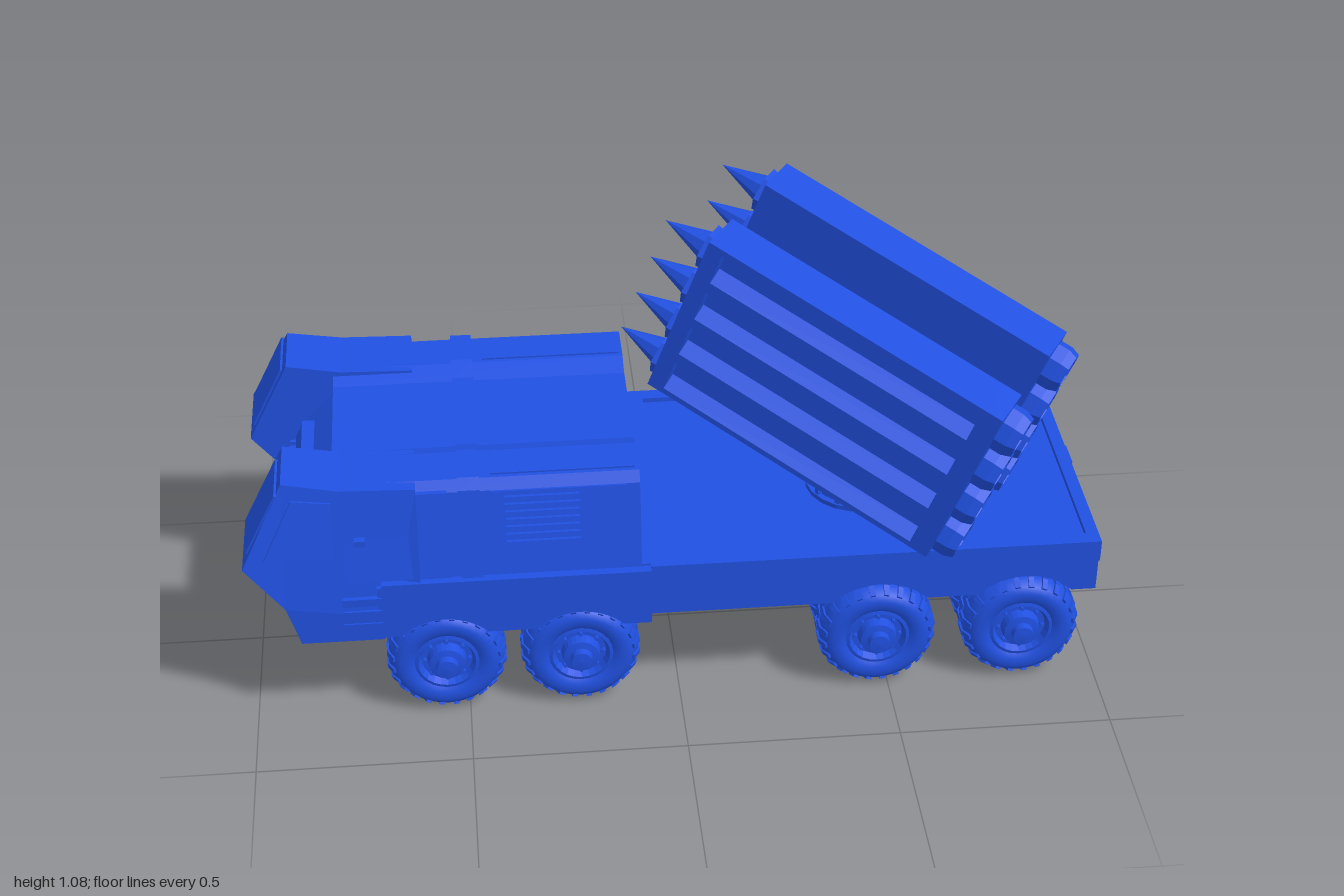
import * as THREE from 'three';
import { mergeGeometries } from 'three/addons/utils/BufferGeometryUtils.js';

const paint = new THREE.MeshStandardMaterial({ color: 0x2050e0, side: THREE.DoubleSide, flatShading: true });
const smooth = new THREE.MeshStandardMaterial({ color: 0x2050e0, side: THREE.DoubleSide });

function add(parent, name, geometry, x = 0, y = 0, z = 0, material = paint) {
  const mesh = new THREE.Mesh(geometry, material);
  mesh.name = name;
  mesh.position.set(x, y, z);
  parent.add(mesh);
  return mesh;
}

// Box given by its limits
function box(parent, name, x0, x1, y0, y1, z0, z1) {
  return add(parent, name, new THREE.BoxGeometry(x1 - x0, y1 - y0, Math.abs(z1 - z0)),
    (x0 + x1) / 2, (y0 + y1) / 2, (z0 + z1) / 2);
}

const shapeOf = pts => new THREE.Shape(pts.map(p => new THREE.Vector2(...p)));

// Side profile (x, y) pushed from z0 to z1
function slab(parent, name, shape, z0, z1, move) {
  const g = new THREE.ExtrudeGeometry(shape, { depth: Math.abs(z1 - z0), bevelEnabled: false, curveSegments: 12 });
  g.translate(0, 0, Math.min(z0, z1));
  if (move) {
    const p = g.attributes.position;
    for (let i = 0; i < p.count; i++) p.setZ(i, move(p.getX(i), p.getY(i), p.getZ(i)));
    g.computeVertexNormals();
  }
  return add(parent, name, g);
}

// Cross-section (z, y) running back along x from xEnd
function bar(outline, length, xEnd) {
  const g = new THREE.ExtrudeGeometry(outline, { depth: length, bevelEnabled: false });
  return g.rotateY(-Math.PI / 2).translate(xEnd, 0, 0);
}

// Side walls lean inwards above the belt line
const lean = (x, y, z) => Math.abs(z) < 0.25 ? z : z - Math.sign(z) * Math.max(0, y - 0.4) * 0.22;

// Side skirt with round wheel arches cut into its lower edge
function archedSkirt(x0, x1, y0, y1, centres, r) {
  const s = new THREE.Shape();
  const a = Math.asin((y0 - 0.145) / r);
  s.moveTo(x0, y1);
  s.lineTo(x0, y0);
  for (const c of centres) {
    s.lineTo(c - r * Math.cos(a), y0);
    s.absarc(c, 0.145, r, Math.PI - a, a, true);
  }
  s.lineTo(x1, y0);
  s.lineTo(x1, y1);
  return s;
}

function lathe(pts, n = 36) {
  return new THREE.LatheGeometry(pts.map(p => new THREE.Vector2(...p)), n).rotateX(Math.PI / 2);
}

// Wheel parts, shared by all wheels; the axle runs along z
const tyreGeo = lathe([[0.075, -0.048], [0.088, -0.057], [0.108, -0.058], [0.123, -0.05], [0.136, -0.028],
  [0.136, 0.028], [0.123, 0.05], [0.108, 0.058], [0.088, 0.057], [0.075, 0.048]]);
const hubGeo = lathe([[0.078, -0.05], [0.072, -0.02], [0, -0.02], [0, -0.015], [0.07, 0.02], [0.076, 0.05],
  [0.068, 0.052], [0.06, 0.035], [0.046, 0.035], [0.042, 0.06], [0.026, 0.063], [0.024, 0.08], [0, 0.082]], 24);
const lugs = [], bolts = [];
for (let i = 0; i < 48; i++) {
  const side = i % 2 ? 1 : -1;
  const lug = new THREE.BoxGeometry(0.006, 0.013, 0.034).translate(0.1375, 0, side * 0.013);
  const shoulder = new THREE.BoxGeometry(0.006, 0.013, 0.028).rotateY(side * -0.5).translate(0.1305, 0, side * 0.04);
  lugs.push(lug.rotateZ(i * Math.PI / 24), shoulder.rotateZ(i * Math.PI / 24));
}
for (let i = 0; i < 8; i++) {
  bolts.push(new THREE.CylinderGeometry(0.005, 0.005, 0.012, 6).rotateX(Math.PI / 2)
    .translate(0.053, 0, 0.04).rotateZ(i * Math.PI / 4));
}
const lugGeo = mergeGeometries(lugs), boltGeo = mergeGeometries(bolts);

function wheel(parent, x, z, side) {
  const g = new THREE.Group();
  g.name = 'wheel';
  g.position.set(x, 0.145, z);
  if (side < 0) g.rotation.y = Math.PI;
  add(g, 'tyre', tyreGeo, 0, 0, 0, smooth);
  add(g, 'treadLugs', lugGeo);
  add(g, 'hub', hubGeo);
  add(g, 'wheelBolts', boltGeo);
  parent.add(g);
}

function buildCab(t) {
  // Engine and crew body, with a shallow trough along the roof
  const half = [[0.365, 0.38], [0.318, 0.6], [0.3, 0.624], [0.19, 0.624], [0.14, 0.605]];
  const outline = shapeOf([...half, ...half.map(([z, y]) => [-z, y]).reverse()]);
  add(t, 'cabBody', bar(outline, 0.7, -0.09));
  add(t, 'bodyRib', bar(outline, 0.05, 0).scale(1, 1.012, 1.02), -0.455);

  // Recessed middle nose with grille bars
  slab(t, 'middleNose', shapeOf([[-0.7, 0.605], [-0.77, 0.59], [-0.87, 0.49], [-0.89, 0.45], [-0.89, 0.32],
    [-0.86, 0.25], [-0.7, 0.25]]), -0.18, 0.18);
  for (let i = 0; i < 13; i++) box(t, 'grilleBar', -0.905, -0.88, 0.31, 0.45, -0.15 + i * 0.025 - 0.005, -0.15 + i * 0.025 + 0.005);
  box(t, 'noseStep', -0.87, -0.78, 0.48, 0.52, -0.13, 0.13);
  box(t, 'cabFloor', -0.86, -0.07, 0.29, 0.4, -0.36, 0.36);

  for (const s of [1, -1]) {
    // Wedge-shaped crew pods
    slab(t, 'crewPod', shapeOf([[-1, 0.45], [-0.9, 0.65], [-0.77, 0.627], [-0.6, 0.622], [-0.6, 0.38],
      [-0.66, 0.3], [-0.69, 0.24], [-0.88, 0.24], [-0.91, 0.34]]), s * 0.17, s * 0.38, lean);
    slab(t, 'windscreen', shapeOf([[-0.992, 0.477], [-0.916, 0.63], [-0.91, 0.628], [-0.985, 0.475]]), s * 0.19, s * 0.34);
    slab(t, 'sideWindow', shapeOf([[-0.95, 0.47], [-0.88, 0.61], [-0.79, 0.6], [-0.79, 0.47]]), s * 0.376, s * 0.383, lean);
    slab(t, 'door', shapeOf([[-0.77, 0.4], [-0.77, 0.605], [-0.53, 0.605], [-0.53, 0.4]]), s * 0.36, s * 0.372, lean);
    box(t, 'doorHandle', -0.745, -0.72, 0.495, 0.51, s * 0.345, s * 0.365);
    for (let i = 0; i < 3; i++) box(t, 'cabStep', -0.78, -0.69, 0.27 + i * 0.035, 0.29 + i * 0.035, s * 0.365, s * 0.384);
    // Belt rail, arched skirt and engine louvres
    box(t, 'beltRail', -0.69, -0.07, 0.375, 0.395, s * 0.35, s * 0.383);
    slab(t, 'frontSkirt', archedSkirt(-0.7, -0.07, 0.245, 0.385, [-0.55, -0.235], 0.142), s * 0.33, s * 0.38);
    slab(t, 'enginePanel', shapeOf([[-0.43, 0.42], [-0.43, 0.6], [-0.12, 0.6], [-0.12, 0.42]]), s * 0.36, s * 0.367, lean);
    for (let i = 0; i < 7; i++) {
      const y = 0.472 + i * 0.018;
      slab(t, 'louvre', shapeOf([[-0.4, y], [-0.4, y + 0.009], [-0.23, y + 0.009], [-0.23, y]]), s * 0.362, s * 0.374, lean);
    }
    box(t, 'roofHatch', -0.43, -0.1, 0.62, 0.628, s * 0.2, s * 0.29);
  }
}

function buildBed(t) {
  box(t, 'bedFloor', -0.08, 0.965, 0.318, 0.388, -0.345, 0.345);
  box(t, 'bedFrontLip', -0.07, -0.03, 0.36, 0.4, -0.37, 0.37);
  box(t, 'bedRearLip', 0.955, 0.985, 0.36, 0.4, -0.37, 0.37);
  box(t, 'rearPanel', 0.95, 0.98, 0.25, 0.38, -0.245, 0.245);
  box(t, 'rearBumper', 0.965, 0.995, 0.25, 0.29, -0.245, 0.245);
  box(t, 'rearLatch', 0.97, 0.99, 0.25, 0.395, -0.035, 0.035);
  for (const s of [1, -1]) {
    box(t, 'bedRail', -0.07, 0.985, 0.345, 0.4, s * 0.335, s * 0.372);
    slab(t, 'rearSkirt', archedSkirt(-0.07, 0.985, 0.255, 0.35, [0.47, 0.815], 0.157), s * 0.335, s * 0.36);
  }
}

// One launcher pod: four stacked tubes, with tapered grooves on its outer side
function buildPod(parent, s) {
  const pod = new THREE.Group();
  pod.name = 'launcherPod';
  pod.position.z = s * 0.15;
  parent.add(pod);
  const outline = [[-s * 0.06, -0.226]];
  for (let i = 0; i < 4; i++) {
    const y = (i - 1.5) * 0.113;
    outline.push([s * 0.06, y - 0.056], [s * 0.06, y - 0.042], [s * 0.03, y - 0.015], [s * 0.03, y + 0.03],
      [s * 0.06, y + 0.042]);
    add(pod, 'missileNose', new THREE.ConeGeometry(0.038, 0.12, 8).rotateZ(Math.PI / 2), -0.468, y);
    add(pod, 'muzzleRing', new THREE.CylinderGeometry(0.054, 0.05, 0.02, 6).rotateZ(Math.PI / 2), -0.405, y);
    // Hollow exhaust tube
    const tube = new THREE.LatheGeometry([[0.046, 0], [0.058, 0.012], [0.058, 0.04], [0.05, 0.062], [0.04, 0.062],
      [0.034, 0.03], [0, 0.03]].map(p => new THREE.Vector2(...p)), 8);
    add(pod, 'exhaustTube', tube.rotateZ(-Math.PI / 2), 0.36, y);
  }
  outline.push([s * 0.06, 0.226], [-s * 0.06, 0.226]);
  add(pod, 'podBody', bar(shapeOf(outline), 0.7, 0.33));
  box(pod, 'podFront', -0.4, -0.36, -0.226, 0.226, -0.06, 0.06);
  box(pod, 'podRear', 0.32, 0.37, -0.226, 0.226, -0.06, 0.06);
}

function buildLauncher(root) {
  const yaw = THREE.MathUtils.degToRad(-32), pitch = THREE.MathUtils.degToRad(-20.4);
  // Turntable with ribs
  const base = new THREE.Group();
  base.name = 'turntable';
  base.position.set(0.455, 0, 0.015);
  base.rotation.y = yaw;
  root.add(base);
  add(base, 'turntableCone', new THREE.CylinderGeometry(0.09, 0.115, 0.085, 20), 0, 0.427);
  add(base, 'turntableRing', new THREE.CylinderGeometry(0.125, 0.125, 0.015, 20), 0, 0.392);
  add(base, 'turntableTop', new THREE.CylinderGeometry(0.1, 0.1, 0.015, 20), 0, 0.475);
  for (let i = 0; i < 12; i++) {
    const rib = add(base, 'turntableRib', new THREE.BoxGeometry(0.03, 0.08, 0.012).translate(0.105, 0, 0), 0, 0.425);
    rib.rotation.y = i * Math.PI / 6;
  }
  box(base, 'column', -0.06, 0.06, 0.47, 0.72, -0.05, 0.05);

  // Tilting pair of pods joined by a stepped spine
  const tilt = new THREE.Group();
  tilt.name = 'launcher';
  tilt.position.set(0.45, 0.738, 0.024);
  tilt.rotation.set(0, yaw, pitch, 'YZX');
  root.add(tilt);
  box(tilt, 'spine', -0.33, 0.1, -0.15, 0.07, -0.045, 0.045);
  box(tilt, 'spineStep', -0.24, 0.06, -0.12, 0.1, -0.06, 0.06);
  box(tilt, 'crossBeam', -0.02, 0.12, -0.09, 0.02, -0.1, 0.1);
  for (const s of [1, -1]) buildPod(tilt, s);
}

export function createModel() {
  const root = new THREE.Group();
  root.name = 'rocketTruck';
  const truck = new THREE.Group();
  truck.name = 'truck';
  truck.position.z = -0.046;
  root.add(truck);
  buildCab(truck);
  buildBed(truck);
  // Single wheels in front, twin wheels at the rear
  for (const s of [1, -1]) {
    for (const x of [-0.55, -0.235, 0.47, 0.815]) {
      wheel(truck, x, s * 0.308, s);
      if (x > 0) wheel(truck, x, s * 0.177, s);
    }
  }
  buildLauncher(root);
  return root;
}
